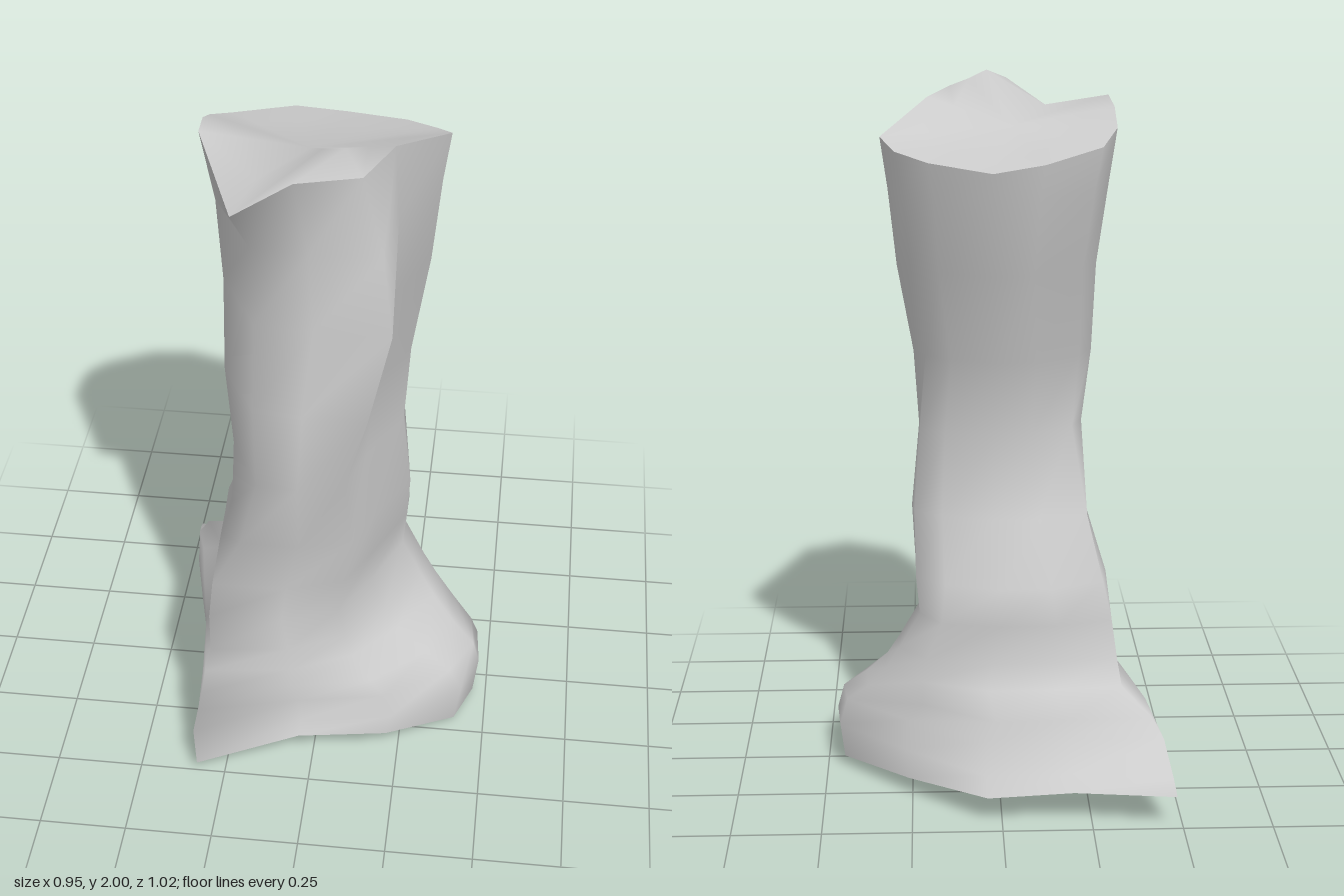
import * as THREE from 'three';
import { mergeVertices } from 'three/addons/utils/BufferGeometryUtils.js';

// Broken rim and spread foot, [x, y, z], from the back round by way of +x
const rim = [
  [0.02, 1.79, -0.305], [0.19, 1.81, -0.24], [0.28, 1.83, -0.165], [0.32, 1.86, -0.09],
  [0.19, 1.94, 0.14], [0.125, 1.95, 0.325], [-0.04, 1.965, 0.4], [-0.2, 1.855, 0.39],
  [-0.317, 1.945, 0.13], [-0.325, 1.925, 0.02], [-0.325, 1.88, -0.08], [-0.28, 1.84, -0.17],
  [-0.12, 1.81, -0.285],
];
const foot = [
  [0.04, 0.08, -0.46], [0.26, 0.05, -0.26], [0.45, 0.03, -0.06], [0.46, 0.015, 0.08],
  [0.41, 0.015, 0.21], [0.215, 0.075, 0.36], [-0.04, 0.085, 0.41], [-0.33, 0.04, 0.51],
  [-0.345, 0.06, 0.1], [-0.39, 0.08, -0.1], [-0.44, 0.09, -0.32], [-0.48, 0.1, -0.51],
  [-0.2, 0.09, -0.455],
];

// Trunk stations: height, x range, z range, share of the foot outline,
// then the reach of each corner: x + z, x - z, -x - z, z - x
const stations = [
  [0.13, -0.48, 0.475, -0.46, 0.47, 0.95, 0.63, 0.52, 0.93, 0.815],
  [0.2, -0.472, 0.455, -0.365, 0.45, 0.85, 0.59, 0.48, 0.81, 0.78],
  [0.26, -0.44, 0.385, -0.355, 0.44, 0.7, 0.51, 0.455, 0.76, 0.76],
  [0.325, -0.345, 0.325, -0.285, 0.415, 0.5, 0.41, 0.43, 0.61, 0.73],
  [0.39, -0.335, 0.285, -0.243, 0.39, 0.4, 0.375, 0.405, 0.55, 0.69],
  [0.5, -0.32, 0.225, -0.24, 0.37, 0.3, 0.365, 0.373, 0.515, 0.675],
  [0.61, -0.31, 0.235, -0.24, 0.355, 0.25, 0.38, 0.347, 0.47, 0.65],
  [0.78, -0.255, 0.245, -0.13, 0.365, 0.12, 0.43, 0.27, 0.34, 0.572],
  [1.02, -0.25, 0.222, -0.1, 0.415, 0.05, 0.46, 0.234, 0.217, 0.55],
  [1.24, -0.275, 0.24, -0.15, 0.38, 0, 0.53, 0.24, 0.27, 0.52],
  [1.5, -0.278, 0.288, -0.235, 0.355, 0, 0.565, 0.345, 0.35, 0.49],
  [1.72, -0.3, 0.308, -0.292, 0.333, 0, 0.5, 0.417, 0.43, 0.475],
];
const corners = [[1, 1], [1, -1], [-1, -1], [-1, 1]];

// Blend the two outlines, fit them to a station's ranges, then set its corners
function section([y, x0, x1, z0, z1, t, ...reach]) {
  const pts = rim.map((p, i) => [0, 2].map((k) => THREE.MathUtils.lerp(p[k], foot[i][k], t)));
  const fit = (k, lo, hi) => {
    const v = pts.map((p) => p[k]);
    const a = Math.min(...v), b = Math.max(...v);
    return v.map((q) => lo + ((q - a) / (b - a)) * (hi - lo));
  };
  const xs = fit(0, x0, x1), zs = fit(1, z0, z1);
  const cx = (x0 + x1) / 2, cz = (z0 + z1) / 2;
  for (let pass = 0; pass < 4; pass++) {
    corners.forEach(([sx, sz], c) => {
      const along = xs.map((x, i) => sx * x + sz * zs[i]);
      const push = (reach[c] - Math.max(...along)) / 2;
      const base = sx * cx + sz * cz;
      const span = Math.max(...along) - base;
      along.forEach((d, i) => {
        const w = Math.max(0, (d - base) / span) ** 4;
        xs[i] = THREE.MathUtils.clamp(xs[i] + sx * push * w, x0, x1);
        zs[i] = THREE.MathUtils.clamp(zs[i] + sz * push * w, z0, z1);
      });
    });
  }
  return xs.map((x, i) => [x, y, zs[i]]);
}

// Draw an outline in towards a centre point
const shrink = (ring, c, s) => ring.map((p) => p.map((v, k) => c[k] + (v - c[k]) * s));

// Smooth skin over a stack of equal rings
function loft(rings, name, material) {
  const n = rings[0].length, index = [];
  for (let r = 0; r < rings.length - 1; r++) {
    for (let i = 0; i < n; i++) {
      const a = r * n + i, b = r * n + ((i + 1) % n);
      index.push(a, a + n, b, b, a + n, b + n);
    }
  }
  let geo = new THREE.BufferGeometry();
  geo.setAttribute('position', new THREE.Float32BufferAttribute(rings.flat(2), 3));
  geo.setIndex(index);
  geo = mergeVertices(geo);
  geo.computeVertexNormals();
  const mesh = new THREE.Mesh(geo, material);
  mesh.name = name;
  return mesh;
}

export function createModel() {
  const group = new THREE.Group();
  group.name = 'stump';
  const material = new THREE.MeshStandardMaterial({ color: 0xcccccc, side: THREE.DoubleSide });

  // Trunk flaring into the foot
  group.add(loft([foot, ...stations.map(section), rim], 'trunk', material));

  // Uneven broken top, with a crest just behind the front edge
  const topCentre = [-0.04, 1.87, 0.05];
  const inner = shrink(rim, topCentre, 0.68);
  inner[5][1] = 1.98;
  inner[6] = [0.02, 2, 0.28];
  inner[7][1] = 1.9;
  group.add(loft([rim, inner, shrink(rim, topCentre, 0)], 'brokenTop', material));

  // Shallow underside
  const baseCentre = [0.02, 0.03, -0.03];
  const middle = shrink(foot, baseCentre, 0.55).map(([x, y, z]) => [x, Math.max(0, y - 0.022), z]);
  group.add(loft([shrink(foot, baseCentre, 0), middle, foot], 'underside', material));
  return group;
}
